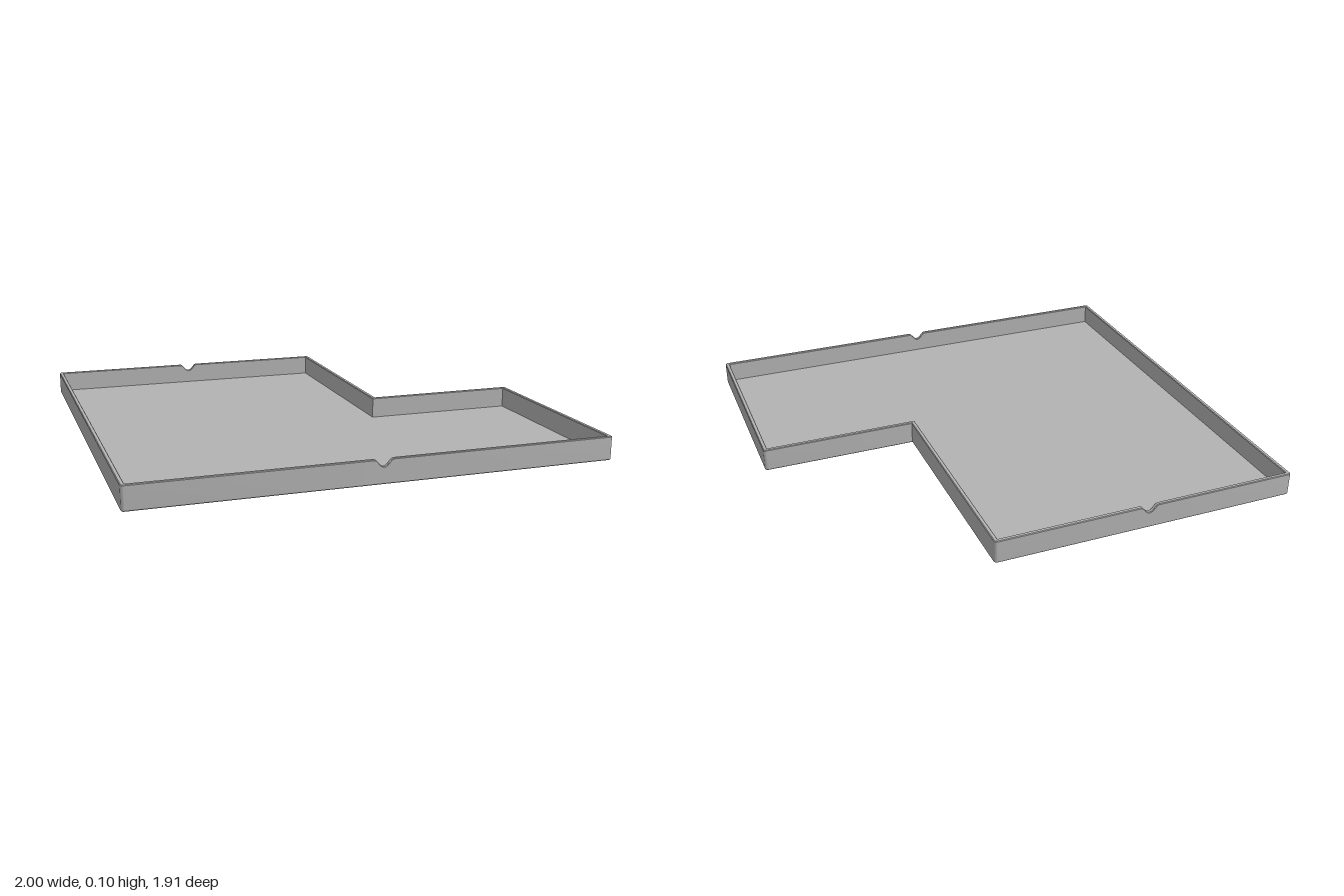
import * as THREE from 'three';
import { toCreasedNormals } from 'three/addons/utils/BufferGeometryUtils.js';

const HEIGHT = 0.1, WALL = 0.018, FLOOR = 0.01, BEVEL = 0.003, RADIUS = 0.012;

// Corners of the L plan: x, z and the inward diagonal; the fourth is the inner corner
const CORNERS = [
  [-1, 0.955, 1, -1], [1, 0.955, -1, -1], [1, 0.035, -1, 1],
  [0.33, 0.035, -1, 1], [0.33, -0.955, -1, 1], [-1, -0.955, 1, 1],
];
// Half outline of a rim notch: offset along the wall, depth
const HALF = [[-0.04, 0], [-0.033, 0.003], [-0.026, 0.01], [-0.016, 0.022], [-0.008, 0.028]];
const NOTCH = [...HALF, [0, 0.03], ...HALF.map(([o, d]) => [-o, d]).reverse()];

// Plan outline moved inwards by d, as [x, z, notch depth]
function outline(d) {
  const points = [];
  CORNERS.forEach(([x, z, mx, mz], i) => {
    if (i === 3 || d >= RADIUS) {
      const count = i === 3 ? 1 : 5;
      for (let k = 0; k < count; k++) points.push([x + mx * d, z + mz * d, 0]);
    } else {
      const mid = Math.atan2(-mz, -mx);
      for (let k = 0; k < 5; k++) {
        const a = mid + Math.PI / 4 - (k * Math.PI) / 8;
        points.push([
          x + mx * RADIUS + (RADIUS - d) * Math.cos(a),
          z + mz * RADIUS + (RADIUS - d) * Math.sin(a), 0,
        ]);
      }
    }
    // Notches in the middle of the front and back walls
    if (i === 0) NOTCH.forEach(([o, h]) => points.push([o, z - d, h]));
    if (i === 4) NOTCH.forEach(([o, h]) => points.push([-0.335 - o, z + d, h]));
  });
  return points;
}

// Wall section swept round the plan, with the rim dipping at the notches
function wallGeometry() {
  const section = [
    [WALL, FLOOR, 0], [WALL, HEIGHT - BEVEL, 1], [WALL - BEVEL, HEIGHT, 1],
    [BEVEL, HEIGHT, 1], [0, HEIGHT - BEVEL, 1], [0, BEVEL, 0], [BEVEL, 0, 0],
  ];
  const loops = section.map(([d, y, rim]) =>
    outline(d).map(([x, z, dip]) => new THREE.Vector3(x, y - rim * dip, z)));
  const positions = [];
  const triangle = (a, b, c) => {
    if (new THREE.Triangle(a, b, c).getArea() < 1e-9) return;
    for (const p of [a, b, c]) positions.push(p.x, p.y, p.z);
  };
  const n = loops[0].length;
  for (let j = 0; j < loops.length - 1; j++) {
    for (let i = 0; i < n; i++) {
      const k = (i + 1) % n;
      triangle(loops[j][i], loops[j + 1][i], loops[j + 1][k]);
      triangle(loops[j][i], loops[j + 1][k], loops[j][k]);
    }
  }
  const geometry = new THREE.BufferGeometry();
  geometry.setAttribute('position', new THREE.Float32BufferAttribute(positions, 3));
  return toCreasedNormals(geometry, 0.5);
}

// Flat sheet filling the plan, facing up (1) or down (-1)
function sheetGeometry(d, y, facing) {
  const shape = new THREE.Shape(outline(d).map(([x, z]) => new THREE.Vector2(x, -facing * z)));
  return new THREE.ShapeGeometry(shape).rotateX((-facing * Math.PI) / 2).translate(0, y, 0);
}

export function createModel() {
  const group = new THREE.Group();
  group.name = 'tray';
  const grey = new THREE.MeshStandardMaterial({ color: 0xb3b3b3 });
  grey.name = 'light grey';

  const add = (name, geometry) => {
    const mesh = new THREE.Mesh(geometry, grey);
    mesh.name = name;
    group.add(mesh);
  };
  add('walls', wallGeometry());
  add('floor', sheetGeometry(WALL, FLOOR, 1));
  add('underside', sheetGeometry(BEVEL, 0, -1));
  return group;
}
